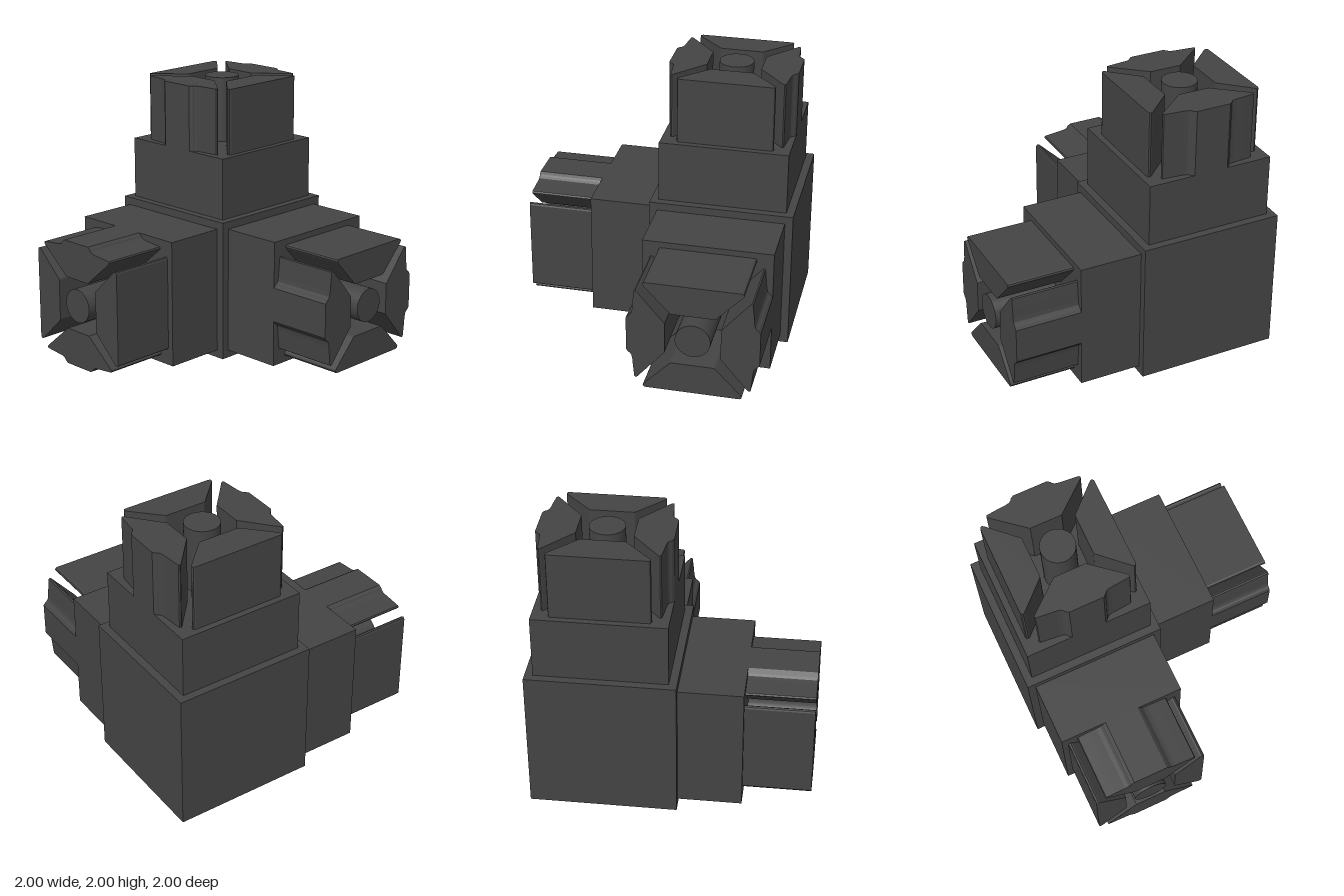
import * as THREE from 'three';

const CUBE = 1.055, HALF = CUBE / 2;
const COLLAR = 0.94, COLLAR_END = 0.985, ARM_END = 1.4725;

const material = new THREE.MeshStandardMaterial({ color: 0x444444, flatShading: true });
const smooth = new THREE.MeshStandardMaterial({ color: 0x444444 });

function mesh(name, geometry, mat = material) {
  const m = new THREE.Mesh(geometry, mat);
  m.name = name;
  return m;
}

// Half outlines as [outward, sideways] pairs, from the inner edge to the outer face.
const PLAIN = [[0.197, 0.149], [0.202, 0.16], [0.395, 0.345], [0.408, 0.352], [0.42, 0.347], [0.425, 0.335]];
const NOTCHED = [[0.197, 0.117], [0.393, 0.348], [0.402, 0.352], [0.412, 0.346], [0.42, 0.27],
  [0.426, 0.2], [0.432, 0.17], [0.444, 0.155], [0.455, 0.148], [0.47, 0.127]];

// Mirrors a half outline and extrudes it along the arm.
function prongGeometry(half) {
  const points = [
    ...half.map(([a, b]) => new THREE.Vector2(a, -b)),
    ...[...half].reverse().map(([a, b]) => new THREE.Vector2(a, b)),
  ];
  const start = COLLAR_END - 0.02;
  const geometry = new THREE.ExtrudeGeometry(new THREE.Shape(points), { depth: ARM_END - start, bevelEnabled: false });
  return geometry.translate(0, 0, start);
}

// One arm pointing along +z: square collar, four prongs and a central pin.
function createArm(name) {
  const arm = new THREE.Group();
  arm.name = name;

  const collarDepth = COLLAR_END - HALF + 0.02;
  const collar = mesh('collar', new THREE.BoxGeometry(COLLAR, COLLAR, collarDepth));
  collar.position.z = COLLAR_END - collarDepth / 2;
  arm.add(collar);

  for (let i = 0; i < 4; i++) {
    const notched = i % 2 === 0;
    const prong = mesh(notched ? 'notchedProng' : 'plainProng', prongGeometry(notched ? NOTCHED : PLAIN));
    prong.rotation.z = i * Math.PI / 2;
    arm.add(prong);
  }

  const pinLength = ARM_END - COLLAR_END + 0.02;
  const pin = mesh('pin', new THREE.CylinderGeometry(0.125, 0.125, pinLength, 48), smooth);
  pin.rotation.x = Math.PI / 2;
  pin.position.z = ARM_END - pinLength / 2;
  arm.add(pin);
  return arm;
}

export function createModel() {
  const model = new THREE.Group();
  model.name = 'cornerConnector';

  // Everything is centred on the corner cube.
  const connector = new THREE.Group();
  connector.name = 'connector';
  connector.position.set(1 - HALF, HALF, HALF - 1);
  connector.add(mesh('cornerCube', new THREE.BoxGeometry(CUBE, CUBE, CUBE)));

  const front = createArm('frontArm');
  const up = createArm('upperArm');
  up.rotation.x = -Math.PI / 2;
  const side = createArm('rightArm');
  side.rotation.set(0, -Math.PI / 2, Math.PI / 2);
  connector.add(front, up, side);

  model.add(connector);
  return model;
}
